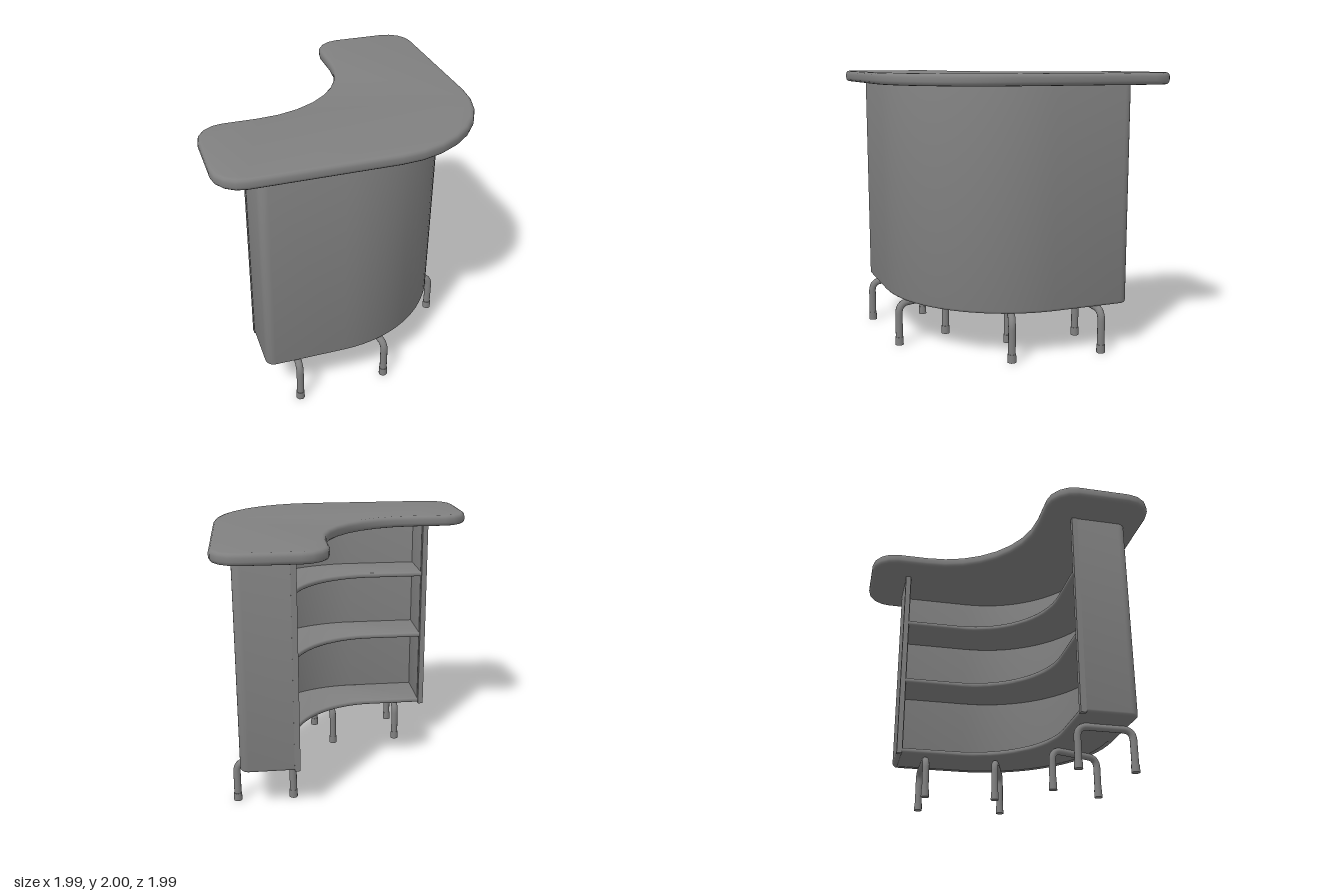
import * as THREE from 'three';
import { toCreasedNormals } from 'three/addons/utils/BufferGeometryUtils.js';

const PI = Math.PI;
const material = new THREE.MeshStandardMaterial({ color: 0x808080 });

// Plan outline from points [x, z] and arcs [cx, cz, r, start, end, segments].
function outline(parts) {
  const pts = [];
  for (const [cx, cz, r, a0, a1, n] of parts) {
    if (r === undefined) { pts.push(new THREE.Vector2(cx, cz)); continue; }
    for (let i = 0; i <= n; i++) {
      const a = a0 + (a1 - a0) * i / n;
      pts.push(new THREE.Vector2(cx + r * Math.cos(a), cz + r * Math.sin(a)));
    }
  }
  return new THREE.Shape(pts);
}

// Slab with rounded rims: plan outline stretched from y = bottom to y = top.
function slab(name, parts, bottom, top, bevel) {
  const geo = new THREE.ExtrudeGeometry(outline(parts), {
    depth: top - bottom - 2 * bevel,
    bevelEnabled: true, bevelSize: bevel, bevelOffset: -bevel,
    bevelThickness: bevel, bevelSegments: 3,
  });
  geo.rotateX(PI / 2).translate(0, top - bevel, 0);
  const mesh = new THREE.Mesh(toCreasedNormals(geo, PI / 5), material);
  mesh.name = name;
  return mesh;
}

// U-shaped tube leg between two floor points [x, z].
function leg(name, a, b) {
  const group = new THREE.Group();
  group.name = name;
  const top = 0.315, bend = 0.08;
  const A = new THREE.Vector3(a[0], 0.02, a[1]), B = new THREE.Vector3(b[0], 0.02, b[1]);
  const cornerA = A.clone().setY(top), cornerB = B.clone().setY(top);
  const dir = cornerB.clone().sub(cornerA).normalize().multiplyScalar(bend);
  const kneeA = A.clone().setY(top - bend), kneeB = B.clone().setY(top - bend);
  const barA = cornerA.clone().add(dir), barB = cornerB.clone().sub(dir);
  const path = new THREE.CurvePath();
  path.add(new THREE.LineCurve3(A, kneeA));
  path.add(new THREE.QuadraticBezierCurve3(kneeA, cornerA, barA));
  path.add(new THREE.LineCurve3(barA, barB));
  path.add(new THREE.QuadraticBezierCurve3(barB, cornerB, kneeB));
  path.add(new THREE.LineCurve3(kneeB, B));
  const tube = new THREE.Mesh(new THREE.TubeGeometry(path, 48, 0.027, 12), material);
  tube.name = 'legTube';
  group.add(tube);
  for (const p of [a, b]) {
    const foot = new THREE.Mesh(new THREE.CylinderGeometry(0.03, 0.032, 0.06, 12), material);
    foot.name = 'foot';
    foot.position.set(p[0], 0.03, p[1]);
    group.add(foot);
  }
  return group;
}

export function createModel() {
  const model = new THREE.Group();
  model.name = 'cornerCounter';

  // Worktop
  const worktop = slab('counterTop', [
    [-0.795, 0.795, 0.2, PI, PI / 2, 4],
    [0.2, 0.2, 0.795, PI / 2, 0, 8],
    [0.795, -0.795, 0.2, 0, -PI / 2, 4],
    [0.408, -0.795, 0.2, -PI / 2, -PI, 4],
    [-0.55, -0.55, 0.758, 0, PI / 2, 8],
    [-0.795, 0.408, 0.2, -PI / 2, -PI, 4],
  ], 1.917, 2, 0.028);
  worktop.position.set(-0.003, 0, 0.003);
  model.add(worktop);

  const base = new THREE.Group();
  base.name = 'base';
  base.position.set(-0.0075, 0, 0.0075);
  model.add(base);

  // Curved front wall with both end panels
  base.add(slab('curvedWall', [
    [-0.705, 0.45],
    [-0.64, 0.7975, 0.065, PI, PI / 2, 6],
    [-0.12, -0.12, 0.9825, PI / 2, 0, 20],
    [0.7975, -0.64, 0.065, 0, -PI / 2, 6],
    [0.45, -0.705], [0.45, -0.66], [0.8175, -0.66],
    [-0.12, -0.12, 0.9375, 0, PI / 2, 20],
    [-0.66, 0.8175], [-0.66, 0.45],
  ], 0.335, 1.93, 0.02));

  // Floor and two shelves, open towards the back
  for (const [name, top] of [['floorPanel', 0.378], ['middleShelf', 0.975], ['upperShelf', 1.5]]) {
    base.add(slab(name, [
      [-0.675, 0.825],
      [-0.12, -0.12, 0.945, PI / 2, 0, 20],
      [0.825, -0.675], [0.44, -0.675],
      [-0.243, -0.243, 0.683, 0, PI / 2, 16],
      [-0.675, 0.44],
    ], top - 0.04, top, 0.015));
  }

  // Posts on the inner edges of the end panels
  for (const [x, z] of [[-0.687, 0.45], [0.45, -0.687]]) {
    const post = new THREE.Mesh(new THREE.BoxGeometry(0.042, 1.595, 0.042), material);
    post.name = 'edgePost';
    post.position.set(x, 1.1275, z);
    base.add(post);
  }

  // Legs, mirrored across the diagonal
  const pairs = [
    ['endLeg', [-0.47, 0.473], [-0.47, 0.892]],
    ['curveLeg', [0.076, 0.445], [0.204, 0.845]],
  ];
  for (const [name, a, b] of pairs) {
    base.add(leg(name, a, b));
    base.add(leg(name, [a[1], a[0]], [b[1], b[0]]));
  }
  return model;
}
